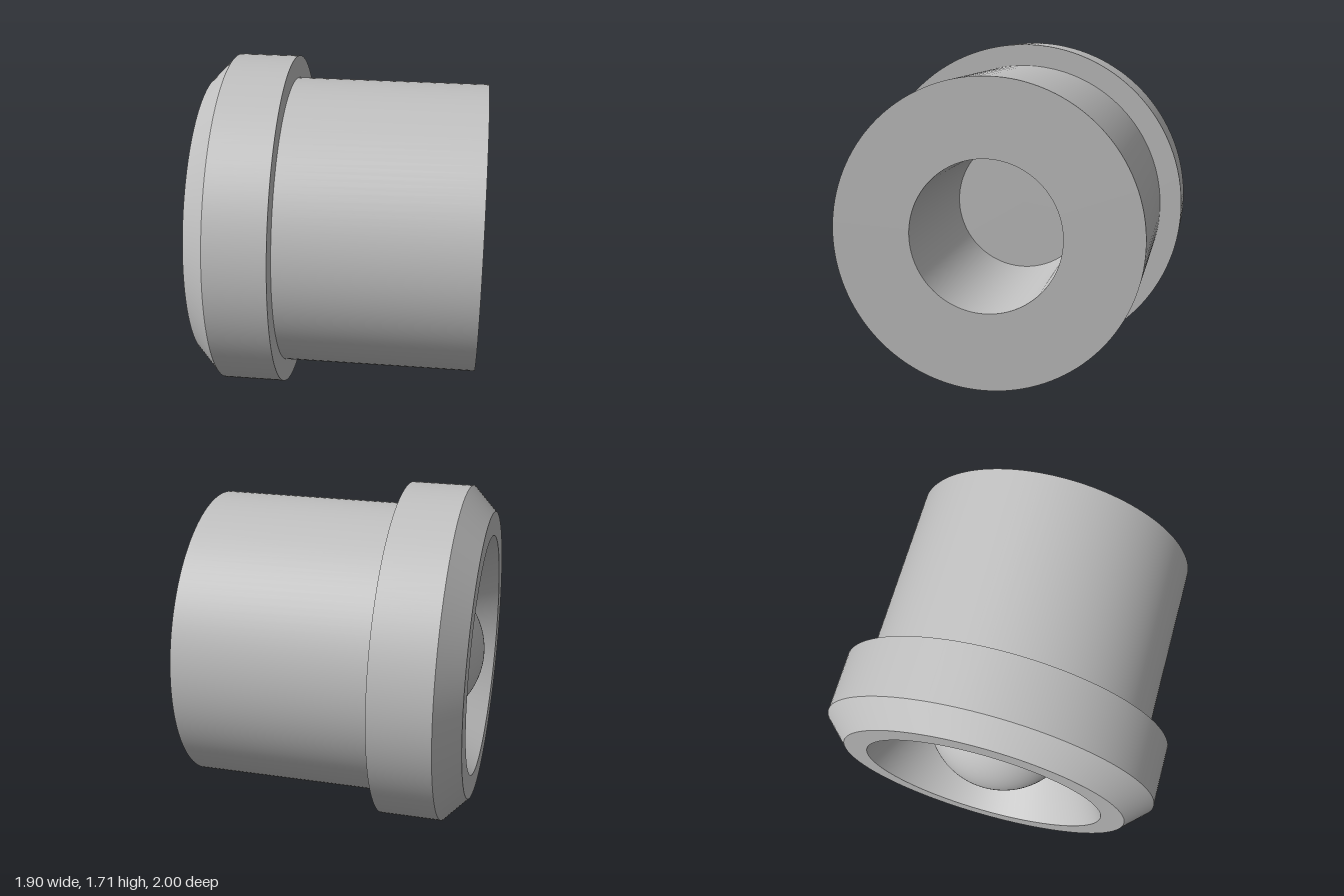
import * as THREE from 'three';

export function createModel() {
  const model = new THREE.Group();
  model.name = 'flangedBushing';
  const grey = new THREE.MeshStandardMaterial({ color: 0xc0c0c0 });
  grey.name = 'plainGrey';

  // All parts are turned about one axis; [radius, distance along axis]
  const turned = new THREE.Group();
  turned.name = 'turnedBody';
  model.add(turned);
  const turn = (name, profile) => {
    const points = profile.map(([r, s]) => new THREE.Vector2(r, s));
    const mesh = new THREE.Mesh(new THREE.LatheGeometry(points, 128), grey);
    mesh.name = name;
    turned.add(mesh);
  };

  const front = -0.692, chamferEnd = -0.574, flangeBack = -0.27, back = 0.708;
  const flangeR = 0.855, rimR = 0.732, cupR = 0.612, bodyR = 0.743, boreR = 0.366;
  const domeR = 0.388, domeCentre = front + domeR;

  // Dome sitting in the cup, its tip flush with the rim
  const dome = [];
  for (let i = 0; i <= 32; i++) {
    const a = (i / 32) * Math.PI / 2;
    dome.push([domeR * Math.sin(a), domeCentre - domeR * Math.cos(a)]);
  }
  turn('dome', dome);
  turn('cupWall', [[domeR, domeCentre], [cupR, front]]);

  // Flange
  turn('frontRim', [[cupR, front], [rimR, front]]);
  turn('chamfer', [[rimR, front], [flangeR, chamferEnd]]);
  turn('flange', [[flangeR, chamferEnd], [flangeR, flangeBack]]);
  turn('shoulder', [[flangeR, flangeBack], [bodyR, flangeBack]]);

  // Barrel with a blind bore
  turn('barrel', [[bodyR, flangeBack], [bodyR, back]]);
  turn('backFace', [[bodyR, back], [boreR, back]]);
  turn('bore', [[boreR, back], [boreR, flangeBack]]);
  turn('boreFloor', [[boreR, flangeBack], [0, flangeBack]]);

  // Lay the axis level, pointing right and back
  const axis = new THREE.Vector3(0.899, 0, -0.438).normalize();
  turned.quaternion.setFromUnitVectors(new THREE.Vector3(0, 1, 0), axis);
  turned.position.set(-0.011, flangeR, -0.023);
  return model;
}
